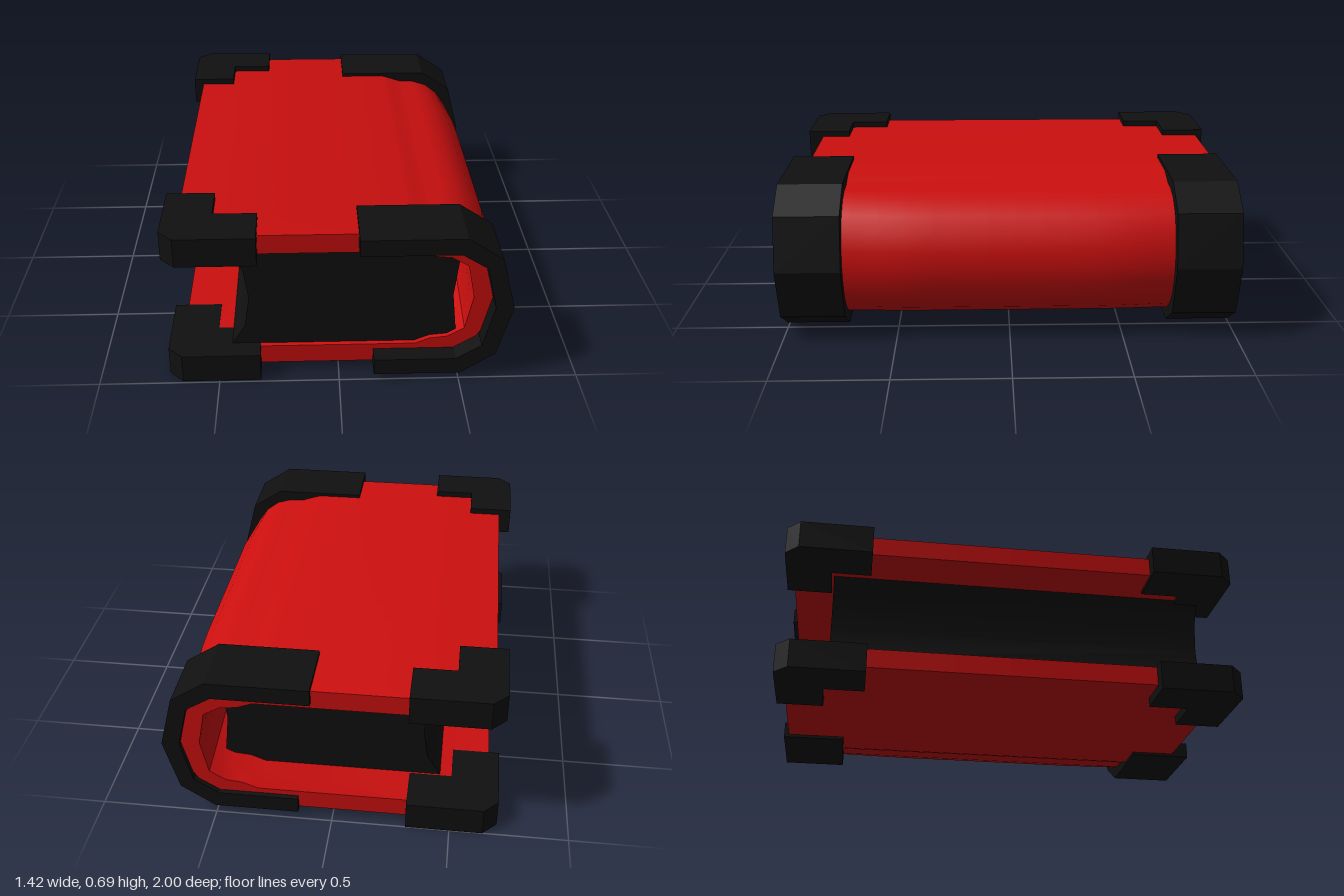
import * as THREE from 'three';
import { toCreasedNormals } from 'three/addons/utils/BufferGeometryUtils.js';

const red = new THREE.MeshStandardMaterial({ color: 0xcc0f0f });
const black = new THREE.MeshStandardMaterial({ color: 0x101010 });

// Extrude an x-y outline from z0 to z1
function extrude(points, z0, z1, steps = 1) {
  const shape = new THREE.Shape(points.map(([x, y]) => new THREE.Vector2(x, y)));
  const geo = new THREE.ExtrudeGeometry(shape, { depth: z1 - z0, steps, bevelEnabled: false });
  return geo.translate(0, 0, z0);
}

function addPart(group, name, geo, material) {
  const mesh = new THREE.Mesh(geo, material);
  mesh.name = name;
  group.add(mesh);
  return mesh;
}

// Complete a half profile (ending on the centre line) with its reflection
const MID = 0.352;
const mirrored = (half) => [
  ...half,
  ...half.slice(0, -1).reverse().map(([x, y]) => [x, 2 * MID - y]),
];

// Cover: two boards with hinge grooves, joined by a rounded spine
function coverGeometry() {
  const outer = mirrored([
    [-0.655, 0.665], [0.29, 0.665], [0.34, 0.65], [0.385, 0.634], [0.45, 0.632],
    [0.51, 0.612], [0.565, 0.565], [0.605, 0.5], [0.628, 0.425], [0.635, MID],
  ]);
  const inner = mirrored([
    [-0.655, 0.58], [0.32, 0.58], [0.385, 0.554], [0.455, 0.547],
    [0.525, 0.505], [0.555, MID],
  ]).reverse();
  const geo = extrude([...outer, ...inner], -0.968, 0.922, 16);
  // Spine bulges towards the middle of its length
  const p = geo.attributes.position;
  for (let i = 0; i < p.count; i++) {
    const x = p.getX(i);
    const along = THREE.MathUtils.clamp((0.95 - Math.abs(p.getZ(i))) / 0.5, 0, 1);
    const across = THREE.MathUtils.clamp((x - 0.42) / 0.2, 0, 1);
    p.setX(i, x + 0.05 * along * across);
  }
  return toCreasedNormals(geo, 0.6);
}

// Page block with hollow fore-edge
function pagesGeometry() {
  return toCreasedNormals(extrude(mirrored([
    [-0.45, 0.585], [0.32, 0.585], [0.39, 0.556], [0.455, 0.55], [0.494, 0.53],
    [0.475, MID],
  ]).concat([[-0.45, 0.119], [-0.39, 0.215], [-0.37, MID], [-0.39, 0.489]]), -0.79, 0.9), 0.5);
}

// Angular band wrapping one end of the spine
const band = [
  [0.08, 0.68], [0.505, 0.68], [0.65, 0.583], [0.71, 0.352], [0.65, 0.122],
  [0.505, 0.026], [0.145, 0.026], [0.145, 0.099], [0.485, 0.099], [0.59, 0.165],
  [0.635, 0.352], [0.59, 0.541], [0.485, 0.607], [0.08, 0.607],
];

// L-shaped corner guard with a clipped outer corner, outline in x and -z
function cornerGeometry(x, z, dir) {
  const plan = [
    [0, 0.06], [0.06, 0], [0.385, 0], [0.385, 0.2], [0.203, 0.2], [0.203, 0.375], [0, 0.375],
  ].map(([a, b]) => [x + a, -(z - dir * b)]);
  return extrude(plan, 0, 0.126).rotateX(-Math.PI / 2);
}

export function createModel() {
  const model = new THREE.Group();
  model.name = 'book';
  addPart(model, 'cover', coverGeometry(), red);
  addPart(model, 'pages', pagesGeometry(), black);
  addPart(model, 'frontSpineBand', extrude(band, 0.72, 1), black);
  addPart(model, 'backSpineBand', extrude(band, -0.99, -0.71), black);
  for (const [level, y] of [['lower', 0], ['upper', 0.566]]) {
    addPart(model, level + 'FrontCorner', cornerGeometry(-0.712, 0.99, 1), black).position.y = y;
    addPart(model, level + 'BackCorner', cornerGeometry(-0.7, -1, -1), black).position.y = y;
  }
  return model;
}
